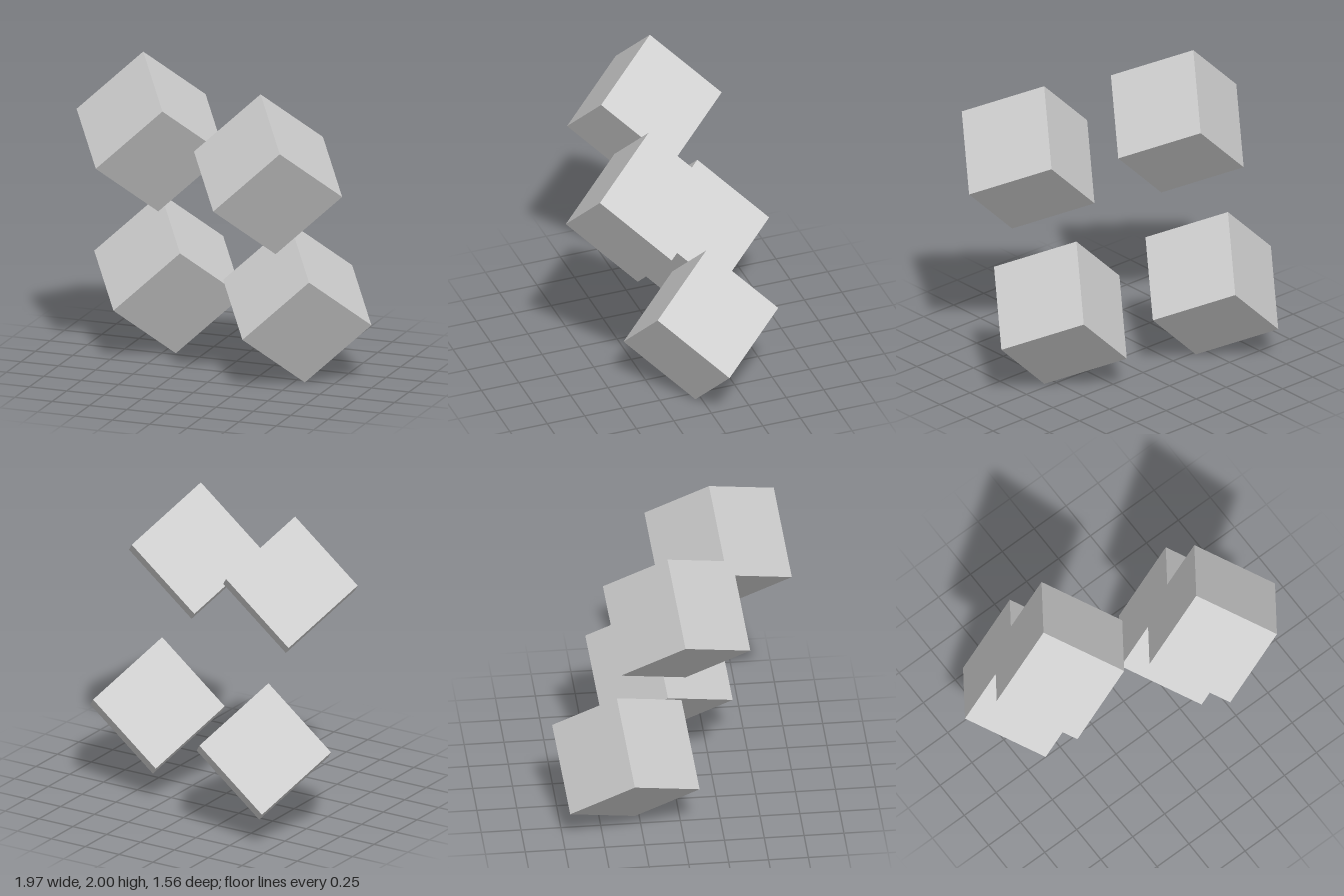
import * as THREE from 'three';

export function createModel() {
  const model = new THREE.Group();
  model.name = 'tiltedCubes';
  const lightGrey = new THREE.MeshStandardMaterial({ name: 'lightGrey', color: 0xcccccc });

  // Shared tilt: every cube stands on one corner along these edge directions
  const a = new THREE.Vector3(-0.30, 0.24, -0.44).normalize();
  const c = a.clone().cross(new THREE.Vector3(0.42, 0.40, -0.07)).normalize();
  const b = c.clone().cross(a);
  const tilt = new THREE.Quaternion().setFromRotationMatrix(new THREE.Matrix4().makeBasis(a, b, c));

  const geometry = new THREE.BoxGeometry(0.582, 0.582, 0.582);
  const cubes = [
    ['lowerRightCube', -0.493, 0.495, -0.341],
    ['lowerLeftCube', 0.492, 0.495, -0.028],
    ['upperRightCube', -0.487, 1.505, -0.022],
    ['upperLeftCube', 0.438, 1.423, 0.337],
  ];
  for (const [name, x, y, z] of cubes) {
    const cube = new THREE.Mesh(geometry, lightGrey);
    cube.name = name;
    cube.position.set(x, y, z);
    cube.quaternion.copy(tilt);
    model.add(cube);
  }
  return model;
}
